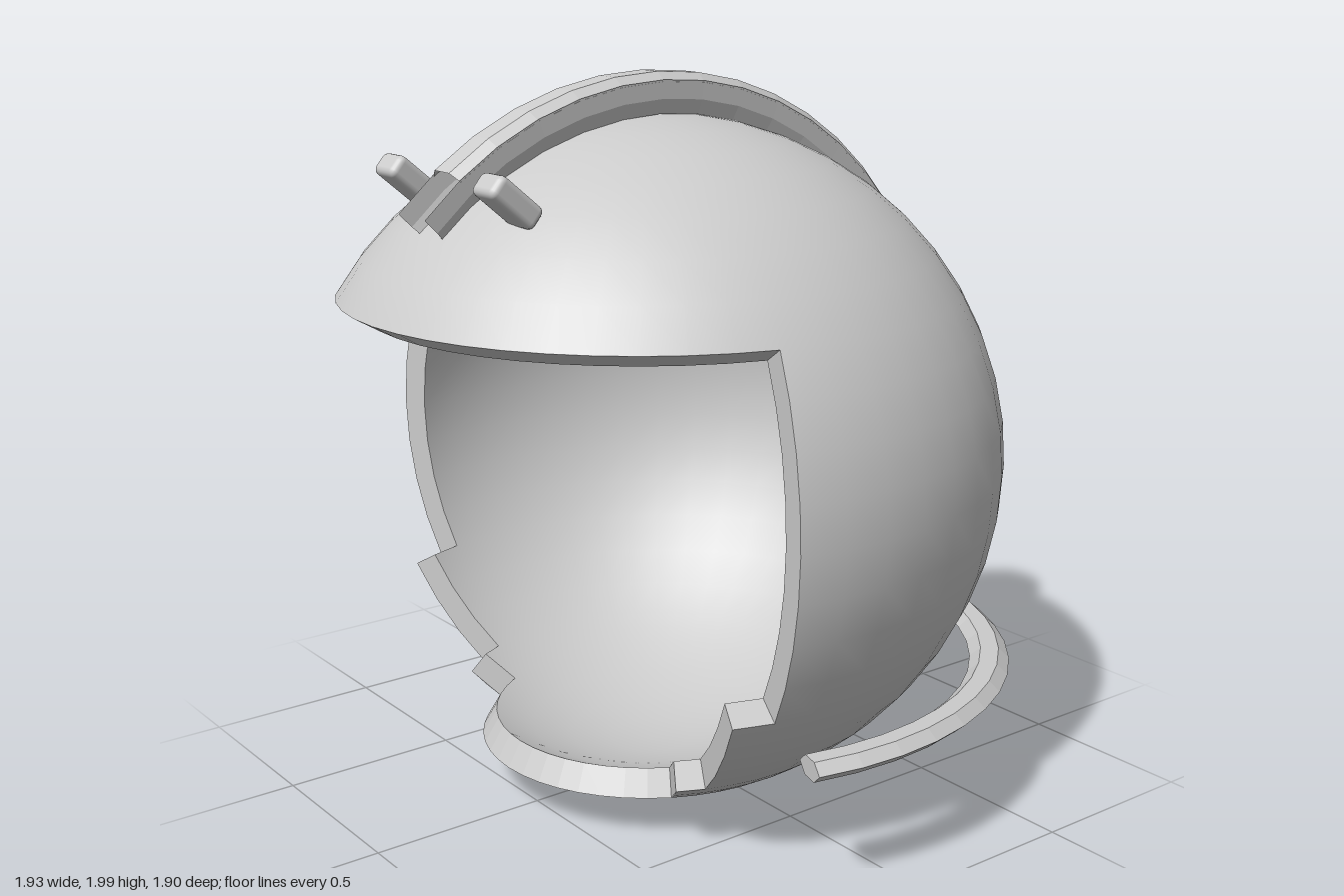
import * as THREE from 'three';
import { RoundedBoxGeometry } from 'three/addons/geometries/RoundedBoxGeometry.js';

const rad = THREE.MathUtils.degToRad;
const STEP = 7.5; // angular grid of all curved parts, in degrees
const CENTRE = [0, 0.95, 0.1];
const OUTER = [0.96, 0.94, 0.98];
const INNER = OUTER.map((r) => r - 0.08);

const smooth = new THREE.MeshStandardMaterial({ color: 0xcccccc, side: THREE.DoubleSide });
const flat = new THREE.MeshStandardMaterial({ color: 0xcccccc, side: THREE.DoubleSide, flatShading: true });

function addMesh(parent, name, geometry, material) {
  const mesh = new THREE.Mesh(geometry, material);
  mesh.name = name;
  parent.add(mesh);
  return mesh;
}

// Faceted skin over rows of points
function loft(rows) {
  const pos = [];
  for (let i = 0; i < rows.length - 1; i++) {
    for (let j = 0; j < rows[i].length - 1; j++) {
      const a = rows[i][j], b = rows[i + 1][j], c = rows[i + 1][j + 1], d = rows[i][j + 1];
      pos.push(...a, ...b, ...c, ...a, ...c, ...d);
    }
  }
  const g = new THREE.BufferGeometry();
  g.setAttribute('position', new THREE.Float32BufferAttribute(pos, 3));
  g.computeVertexNormals();
  return g;
}

// Angles from start to end in even steps
function angles(start, end) {
  const n = Math.max(1, Math.round(Math.abs(end - start) / STEP));
  return Array.from({ length: n + 1 }, (_, i) => start + ((end - start) * i) / n);
}

// Latitude bands of the shell: top, bottom, azimuth where the face opening starts (90 = closed)
const BANDS = [
  [90, 30, 90],
  [30, -30, 15],
  [-30, -52.5, 22.5],
  [-52.5, -60, 30],
  [-60, -90, 90],
];

function addShell(parent, name, radii) {
  const shell = new THREE.Group();
  shell.name = name;
  for (const [top, bottom, open] of BANDS) {
    const sweep = 180 + 2 * open;
    const g = new THREE.SphereGeometry(1, Math.round(sweep / STEP), Math.round((top - bottom) / STEP),
      rad(180 - open), rad(sweep), rad(90 - top), rad(top - bottom));
    g.scale(...radii).translate(...CENTRE);
    addMesh(shell, name + 'Band', g, smooth);
  }
  parent.add(shell);
}

// Edge strip joining the two shells around the stepped opening
function rimGeometry() {
  const half = [[15, 30], [15, -30], [22.5, -30], [22.5, -52.5], [30, -52.5], [30, -60]];
  const corners = [...half, ...half.map(([az, lat]) => [180 - az, lat]).reverse(), half[0]];
  const point = (az, lat, r) => [
    CENTRE[0] + r[0] * Math.cos(rad(lat)) * Math.cos(rad(az)),
    CENTRE[1] + r[1] * Math.sin(rad(lat)),
    CENTRE[2] + r[2] * Math.cos(rad(lat)) * Math.sin(rad(az)),
  ];
  const rows = [];
  for (let i = 0; i < corners.length - 1; i++) {
    const [a, b] = [corners[i], corners[i + 1]];
    const n = angles(0, Math.max(Math.abs(b[0] - a[0]), Math.abs(b[1] - a[1]))).length - 1;
    for (let k = 0; k <= n; k++) {
      const az = a[0] + ((b[0] - a[0]) * k) / n;
      const lat = a[1] + ((b[1] - a[1]) * k) / n;
      rows.push([point(az, lat, OUTER), point(az, lat, INNER)]);
    }
  }
  return loft(rows);
}

// Sweeps [x, radius] points over the top of the helmet, 0 = front, 180 = back
function crestGeometry(profile, start, end) {
  return loft(angles(start, end).map((t) => profile.map(([x, r]) =>
    [x, CENTRE[1] + r * Math.sin(rad(t)), CENTRE[2] + r * Math.cos(rad(t))])));
}

// Hexagonal bar bent around the back, closed at both ends
function neckRingGeometry() {
  const hex = [[0.965, 0], [0.935, 0.027], [0.885, 0.027], [0.855, 0], [0.885, -0.027], [0.935, -0.027], [0.965, 0]];
  const y = 0.375, z = 0.035;
  const row = (t, pts) => pts.map(([r, h]) => [r * Math.cos(rad(t)), y + h, z - r * Math.sin(rad(t))]);
  const cap = hex.map(() => [0.91, 0]);
  return loft([row(-15, cap), ...angles(-15, 195).map((t) => row(t, hex)), row(195, cap)]);
}

export function createModel() {
  const model = new THREE.Group();
  model.name = 'helmet';

  addShell(model, 'outerShell', OUTER);
  addShell(model, 'innerShell', INNER);
  addMesh(model, 'openingRim', rimGeometry(), flat);

  // Crest: bevelled cap with two side walls set slightly forward
  const crest = new THREE.Group();
  crest.name = 'crest';
  addMesh(crest, 'crestCap',
    crestGeometry([[-0.065, 1.025], [-0.035, 1.05], [0.035, 1.05], [0.065, 1.025]], 52.5, 180), flat);
  for (const s of [-1, 1]) {
    addMesh(crest, 'crestWall',
      crestGeometry([[s * 0.065, 1.03], [s * 0.063, 0.98], [s * 0.05, 0.94]], 45, 172.5), flat);
  }
  model.add(crest);

  addMesh(model, 'neckRing', neckRingGeometry(), flat);

  // Pair of pegs on the brow
  for (const s of [-1, 1]) {
    const peg = addMesh(model, 'browPeg', new RoundedBoxGeometry(0.1, 0.065, 0.155, 2, 0.018), smooth);
    peg.position.set(s * 0.24, 1.735, 0.7);
    peg.rotation.x = rad(-40);
  }
  return model;
}
